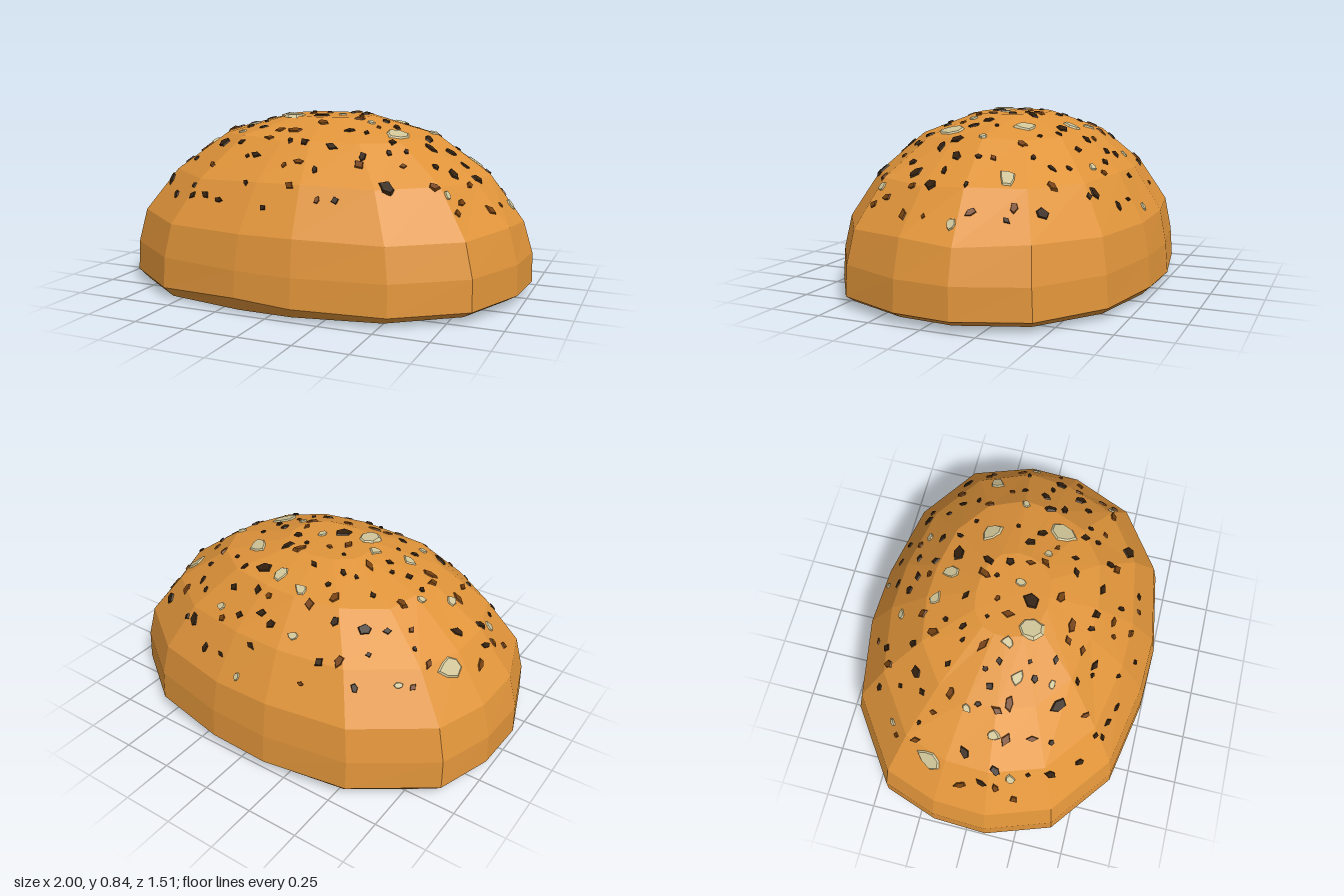
import * as THREE from 'three';
import { mergeGeometries } from 'three/addons/utils/BufferGeometryUtils.js';

// Plan outline of the bun, walked from +x towards +z
const OUTLINE = [
  [1, -0.13], [0.98, 0.14], [0.85, 0.46], [0.54, 0.68], [0.12, 0.75], [-0.16, 0.74], [-0.58, 0.66], [-0.89, 0.42],
  [-1, 0.1], [-0.99, -0.17], [-0.9, -0.44], [-0.55, -0.69], [-0.14, -0.76], [0.17, -0.75], [0.57, -0.67], [0.88, -0.45],
];
// Profile rings: x scale, z scale, height
const RINGS = [
  [0.95, 0.95, 0.015], [1, 1, 0.055], [0.995, 0.985, 0.2], [0.95, 0.945, 0.36],
  [0.785, 0.775, 0.57], [0.53, 0.53, 0.75], [0.21, 0.225, 0.84],
];
// Hand-placed seeds: x, z, radius
const PALE = [
  [-0.78, -0.21, 0.058], [-0.14, 0.12, 0.06], [0.4, 0.15, 0.06], [0.31, -0.18, 0.05], [0.67, -0.25, 0.045],
  [-0.08, -0.36, 0.032], [0.06, -0.32, 0.036], [-0.63, 0.06, 0.03], [-0.37, 0.11, 0.034], [-0.23, 0.03, 0.027],
  [0.25, 0.11, 0.022], [-0.55, -0.08, 0.022], [0.07, 0.02, 0.022], [-0.65, -0.43, 0.018], [0.51, -0.06, 0.022],
  [0.29, -0.5, 0.022], [0.89, -0.09, 0.026], [-0.15, -0.52, 0.024], [0.06, -0.68, 0.02], [-0.78, 0.18, 0.024],
  [-0.36, 0.27, 0.022], [0.7, 0.35, 0.022],
];
const DARK = [
  [-0.43, 0.32, 0.036], [0.47, 0.49, 0.04], [0.17, -0.31, 0.042], [-0.01, 0.09, 0.04],
  [-0.43, -0.36, 0.036], [0.71, -0.42, 0.03], [0.68, 0.19, 0.03], [0.76, 0.07, 0.03],
];

let state = 7;
function rand() {
  state = (state * 16807) % 2147483647;
  return state / 2147483647;
}

function bunGeometry() {
  const n = OUTLINE.length, pos = [], idx = [];
  RINGS.forEach(([sx, sz, y], r) => OUTLINE.forEach(([x, z]) => {
    let h = y;
    if (r === 0) h += x * 0.01;                                        // slightly tilted base
    if (r === 1 && z > 0.7) h += x < 0 ? 0.022 : 0.008;                // rippled lower edge
    if (r > 2 && r < 6) h += (rand() - 0.5) * 0.02;                    // hand-shaped crust
    pos.push(x * sx, h, z * sz);
  }));
  for (let r = 0; r < RINGS.length - 1; r++) {
    for (let i = 0; i < n; i++) {
      const a = r * n + i, b = r * n + (i + 1) % n;
      idx.push(a, a + n, b, b, a + n, b + n);
    }
  }
  // base and crown caps
  const base = pos.length / 3, top = (RINGS.length - 1) * n;
  pos.push(0, 0.015, 0, 0, 0.842, 0);
  for (let i = 0; i < n; i++) {
    const j = (i + 1) % n;
    idx.push(base, i, j, base + 1, top + j, top + i);
  }
  const g = new THREE.BufferGeometry();
  g.setAttribute('position', new THREE.Float32BufferAttribute(pos, 3));
  g.setIndex(idx);
  g.computeVertexNormals();
  return g;
}

// A thin irregular flake lying on the crust
function seedGeometry(radius, stretch, sides) {
  const g = new THREE.CylinderGeometry(0.75, 1, 1, sides);
  const p = g.attributes.position;
  const wobble = Array.from({ length: sides }, () => 0.7 + rand() * 0.5);
  for (let i = 0; i < p.count; i++) {
    const a = Math.atan2(p.getZ(i), p.getX(i));
    const k = wobble[(Math.round((a / (Math.PI * 2)) * sides + sides * 2)) % sides];
    p.setXYZ(i, p.getX(i) * radius * k * stretch, p.getY(i) * 0.014, p.getZ(i) * radius * k);
  }
  return g;
}

export function createModel() {
  const model = new THREE.Group();
  model.name = 'seededBun';
  const material = (color) => new THREE.MeshStandardMaterial({ color, flatShading: true });

  const bun = new THREE.Mesh(bunGeometry(), material(0xe0943a));
  bun.name = 'bun';
  model.add(bun);

  // Drop each seed onto the crust and lay it along the facet
  const ray = new THREE.Raycaster();
  const down = new THREE.Vector3(0, -1, 0), up = new THREE.Vector3(0, 1, 0);
  const seeds = { paleSeeds: [], darkSeeds: [], brownSeeds: [] };
  function addSeed(kind, x, z, radius, stretch, sides) {
    ray.set(new THREE.Vector3(x, 2, z), down);
    const hit = ray.intersectObject(bun)[0];
    if (!hit) return;
    const g = seedGeometry(radius, stretch, sides);
    g.rotateY(rand() * Math.PI * 2);
    g.applyQuaternion(new THREE.Quaternion().setFromUnitVectors(up, hit.face.normal));
    g.translate(hit.point.x, hit.point.y, hit.point.z);
    seeds[kind].push(g);
  }
  PALE.forEach(([x, z, r]) => addSeed('paleSeeds', x, z, r, 1.25, 7));
  DARK.forEach(([x, z, r]) => addSeed('darkSeeds', x, z, r, 1.3, 5));

  // Small seeds scattered on a loose grid over the upper crust
  const placed = [...PALE, ...DARK];
  for (let gx = -0.84; gx <= 0.9; gx += 0.112) {
    for (let gz = -0.64; gz <= 0.66; gz += 0.112) {
      const x = gx + (rand() - 0.5) * 0.09, z = gz + (rand() - 0.5) * 0.09;
      const outside = Math.pow(Math.abs(x) / 0.88, 2.4) + Math.pow(Math.abs(z) / 0.66, 2.4) > 1;
      const crowded = placed.some(([px, pz, pr]) => Math.hypot(px - x, pz - z) < pr + 0.03);
      if (outside || crowded) continue;
      const kind = rand() < 0.66 ? 'darkSeeds' : 'brownSeeds';
      addSeed(kind, x, z, 0.014 + rand() * 0.011, 1 + rand() * 0.9, 4 + Math.floor(rand() * 2));
    }
  }

  const colors = { paleSeeds: 0xd0c598, darkSeeds: 0x33210f, brownSeeds: 0x74400f };
  for (const [name, parts] of Object.entries(seeds)) {
    const mesh = new THREE.Mesh(mergeGeometries(parts), material(colors[name]));
    mesh.name = name;
    model.add(mesh);
  }
  return model;
}
